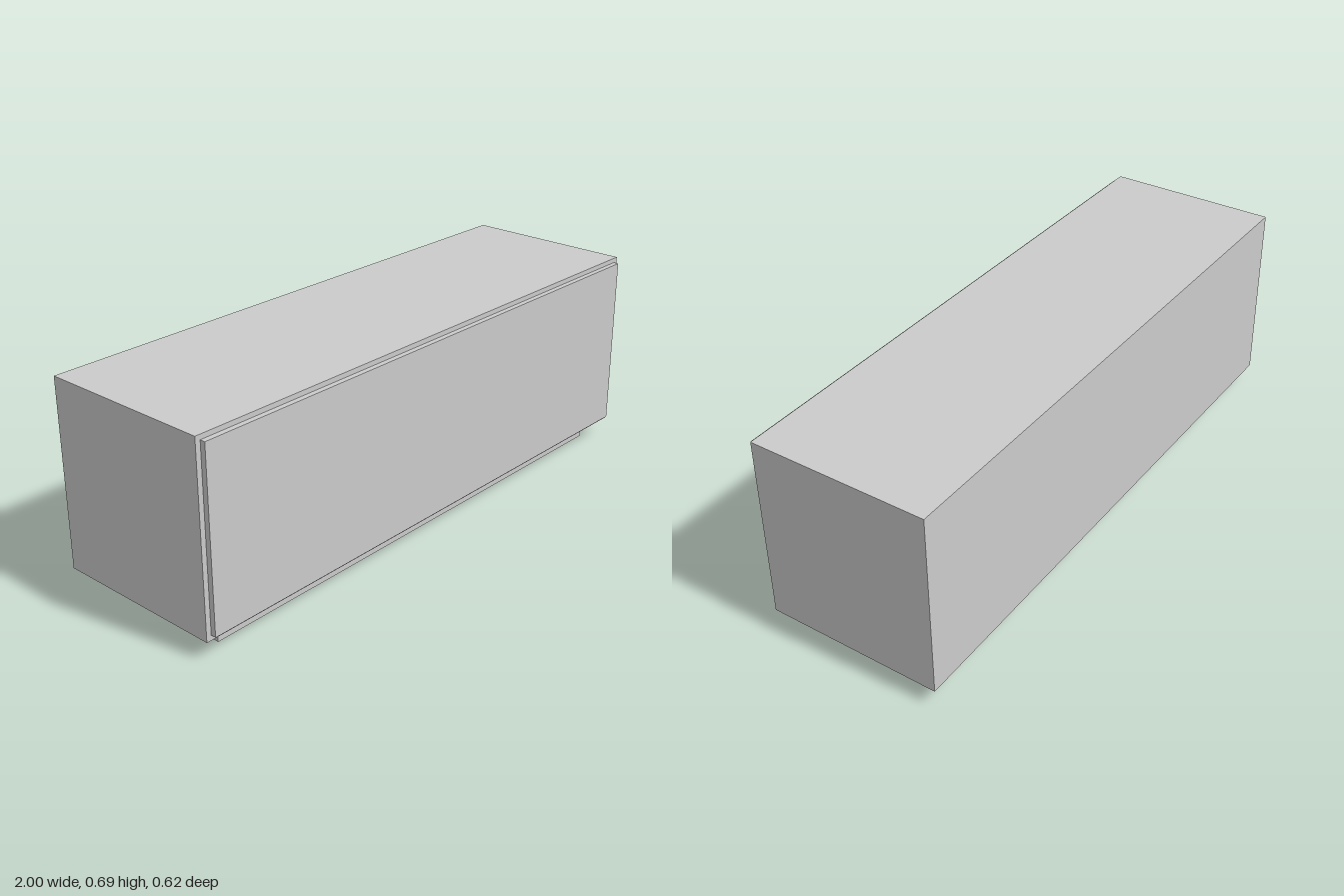
import * as THREE from 'three';

export function createModel() {
  const group = new THREE.Group();
  const material = new THREE.MeshStandardMaterial({ color: 0xcccccc });

  // Box given by its minimum and maximum corners
  function addBox(name, min, max) {
    const size = max.map((v, i) => v - min[i]);
    const mesh = new THREE.Mesh(new THREE.BoxGeometry(...size), material);
    mesh.position.set(...max.map((v, i) => (v + min[i]) / 2));
    mesh.name = name;
    group.add(mesh);
  }

  // Wall cabinet carcass
  addBox('cabinetBody', [-1, 0.06, -0.309], [1, 0.692, 0.291]);
  // Door panel, inset slightly from the carcass edges
  addBox('doorPanel', [-0.983, 0.077, 0.291], [0.983, 0.676, 0.309]);
  // Slim bar hanging just below the underside, near the front
  addBox('lowerBar', [-0.917, 0, 0.208], [0.917, 0.051, 0.242]);

  return group;
}
